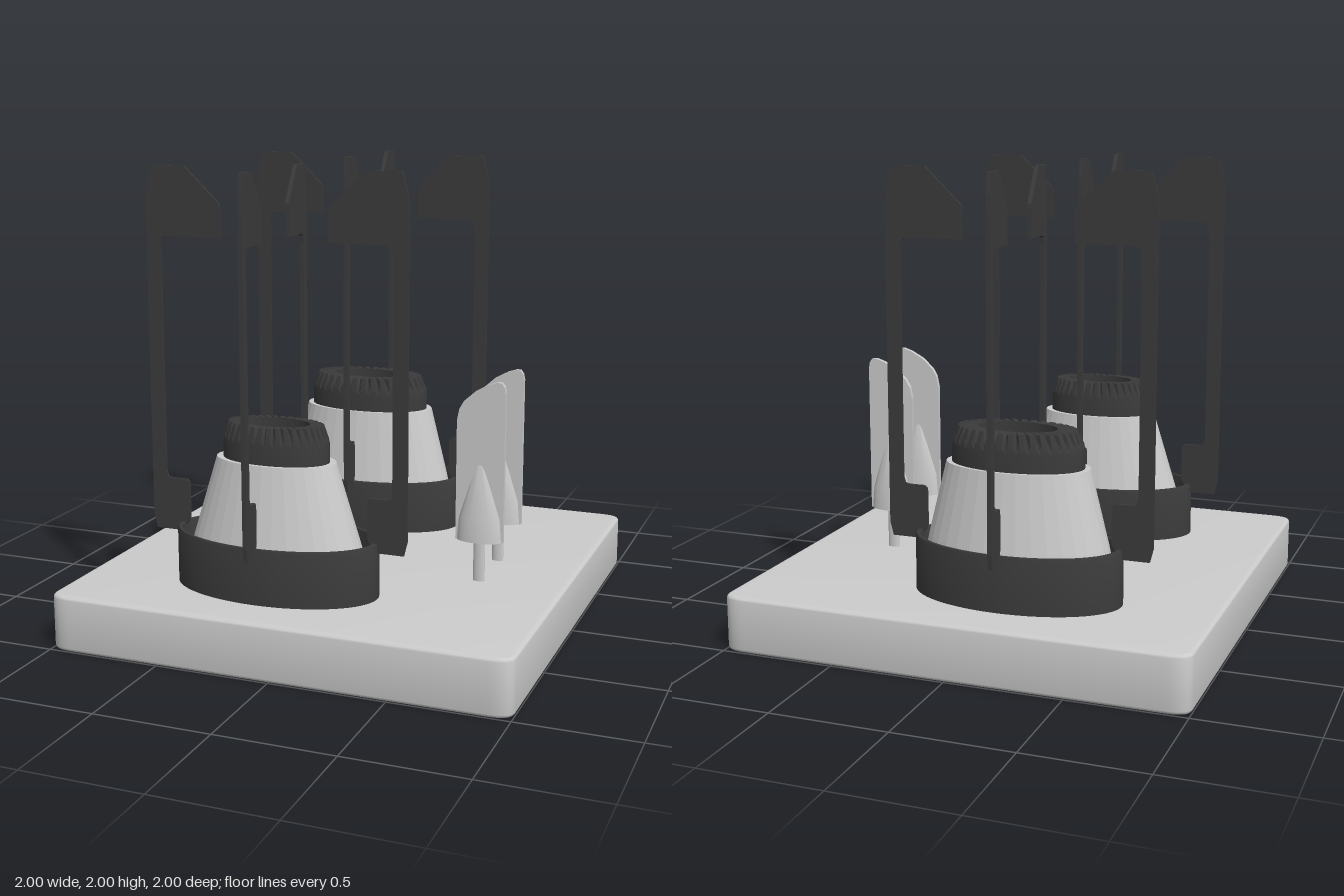
import * as THREE from 'three';
import { toCreasedNormals } from 'three/addons/utils/BufferGeometryUtils.js';

const grey = new THREE.MeshStandardMaterial({ color: 0xcccccc, side: THREE.DoubleSide });
const greyFlat = new THREE.MeshStandardMaterial({ color: 0xcccccc, flatShading: true, side: THREE.DoubleSide });
const dark = new THREE.MeshStandardMaterial({ color: 0x3b3b3b, side: THREE.DoubleSide });

function add(parent, name, geometry, material) {
  const mesh = new THREE.Mesh(geometry, material);
  mesh.name = name;
  parent.add(mesh);
  return mesh;
}

const lathe = (pts, segments) =>
  new THREE.LatheGeometry(pts.map(([r, y]) => new THREE.Vector2(r, y)), segments);

const polygon = (pts) => new THREE.Shape(pts.map(([x, y]) => new THREE.Vector2(x, y)));

// Thin upright plate, centred on its thickness
function plate(pts, thickness) {
  const g = new THREE.ExtrudeGeometry(polygon(pts), { depth: thickness, bevelEnabled: false });
  return g.translate(0, 0, -thickness / 2);
}

// Slab with rounded corners and softened edges
function baseGeometry() {
  const b = 0.015, w = 1 - b, rx = 0.085, rz = 0.045;
  const s = new THREE.Shape();
  s.moveTo(-w + rx, -w);
  s.lineTo(w - rx, -w);
  s.quadraticCurveTo(w, -w, w, -w + rz);
  s.lineTo(w, w - rz);
  s.quadraticCurveTo(w, w, w - rx, w);
  s.lineTo(-w + rx, w);
  s.quadraticCurveTo(-w, w, -w, w - rz);
  s.lineTo(-w, -w + rz);
  s.quadraticCurveTo(-w, -w, -w + rx, -w);
  const g = new THREE.ExtrudeGeometry(s, {
    depth: 0.24 - 2 * b, bevelThickness: b, bevelSize: b, bevelSegments: 3, curveSegments: 8,
  });
  g.rotateX(-Math.PI / 2).translate(0, b, 0);
  return toCreasedNormals(g, 0.6);
}

// Hollow cap whose sloping upper edge is cut by flame slots
function capGeometry(R, hole) {
  const pts = [[R, 0.79], [R, 0.88], [R * 0.985, 0.9], [R * 0.9, 0.955], [hole, 0.955], [hole, 0.79]];
  const g = lathe(pts, 144);
  const p = g.attributes.position;
  for (let i = 0; i < p.count; i++) {
    const column = Math.floor(i / pts.length), row = i % pts.length;
    if (column % 4 === 0 && (row === 2 || row === 3)) {
      const k = row === 2 ? 0.97 : 0.91;
      p.setXYZ(i, p.getX(i) * k, p.getY(i) - (row === 3 ? 0.012 : 0), p.getZ(i) * k);
    }
  }
  return toCreasedNormals(g, 0.5);
}

// Pan support arm: foot on the ring, tall outer post, hooked top
const armProfile = [
  [0.44, 0.44], [0.565, 0.44], [0.58, 0.5], [0.58, 1.84], [0.572, 1.92], [0.55, 2.0],
  [0.4, 2.0], [0.243, 1.85], [0.24, 1.83], [0.24, 1.71], [0.49, 1.71], [0.508, 1.7], [0.515, 1.67],
  [0.515, 0.7], [0.508, 0.675], [0.49, 0.67], [0.42, 0.67], [0.408, 0.66], [0.405, 0.64], [0.405, 0.5],
];

function createBurner({ capR, hole, plug, topR, midR }) {
  const burner = new THREE.Group();
  const footR = Math.min(midR + (midR - topR) * 0.72, 0.44);

  const ring = [[0.45, 0.235], [0.45, 0.47], [0.445, 0.48], [0.43, 0.48], [0.425, 0.47], [0.425, 0.235]];
  add(burner, 'outerRing', toCreasedNormals(lathe(ring, 64), 0.6), dark);
  add(burner, 'burnerCone', lathe([[footR, 0.245], [midR, 0.48], [topR, 0.8], [0, 0.8]], 36), greyFlat);
  add(burner, 'burnerCap', capGeometry(capR, hole), dark);
  add(burner, 'centrePlug', new THREE.CylinderGeometry(plug, plug, 0.07, 32).translate(0, 0.835, 0), dark);

  // Small igniter pins in the recess around the plug
  for (const side of [1, -1]) {
    const pin = add(burner, 'igniterPin', new THREE.CylinderGeometry(0.012, 0.012, 0.05, 12), dark);
    pin.position.set(0, 0.825, side * (hole + plug) / 2);
  }

  const arm = plate(armProfile, 0.018);
  for (let i = 0; i < 4; i++) {
    add(burner, 'supportArm', arm, dark).rotation.y = i * Math.PI / 2;
  }
  burner.scale.z = 0.553;
  return burner;
}

function createKnob() {
  const knob = new THREE.Group();
  knob.name = 'controlKnob';
  const round = new THREE.Group();
  round.name = 'knobBody';
  round.scale.z = 0.5;
  knob.add(round);
  add(round, 'knobStem', new THREE.CylinderGeometry(0.026, 0.026, 0.2, 20).translate(0, 0.33, 0), grey);
  const body = [[0, 0.42], [0.1, 0.42], [0.092, 0.52], [0.022, 0.75], [0.01, 0.765], [0, 0.77]];
  add(round, 'knobSkirt', toCreasedNormals(lathe(body, 32), 0.5), grey);

  const blade = [
    [-0.105, 0.42], [0.105, 0.42], [0.105, 1.07], [0.1, 1.095], [0.088, 1.112], [0.07, 1.113],
    [0.03, 1.1], [-0.025, 1.07], [-0.075, 1.025], [-0.095, 0.99], [-0.105, 0.94],
  ];
  add(knob, 'knobGrip', plate(blade, 0.02), grey);
  return knob;
}

export function createModel() {
  const model = new THREE.Group();
  model.name = 'cooktop';
  add(model, 'base', baseGeometry(), grey);

  const front = createBurner({ capR: 0.235, hole: 0.15, plug: 0.08, topR: 0.265, midR: 0.365 });
  front.name = 'frontBurner';
  front.position.set(-0.15, 0, 0.553);

  const back = createBurner({ capR: 0.285, hole: 0.17, plug: 0.115, topR: 0.31, midR: 0.39 });
  back.name = 'backBurner';
  back.position.set(-0.15, 0, -0.553);
  // Pale jet in the middle of the larger burner
  add(back, 'centreJet', new THREE.CylinderGeometry(0.03, 0.03, 0.02, 20).translate(0, 0.865, 0), grey);
  model.add(front, back);

  for (const z of [0.177, -0.117]) {
    const knob = createKnob();
    knob.position.set(0.625, 0, z);
    model.add(knob);
  }
  return model;
}
